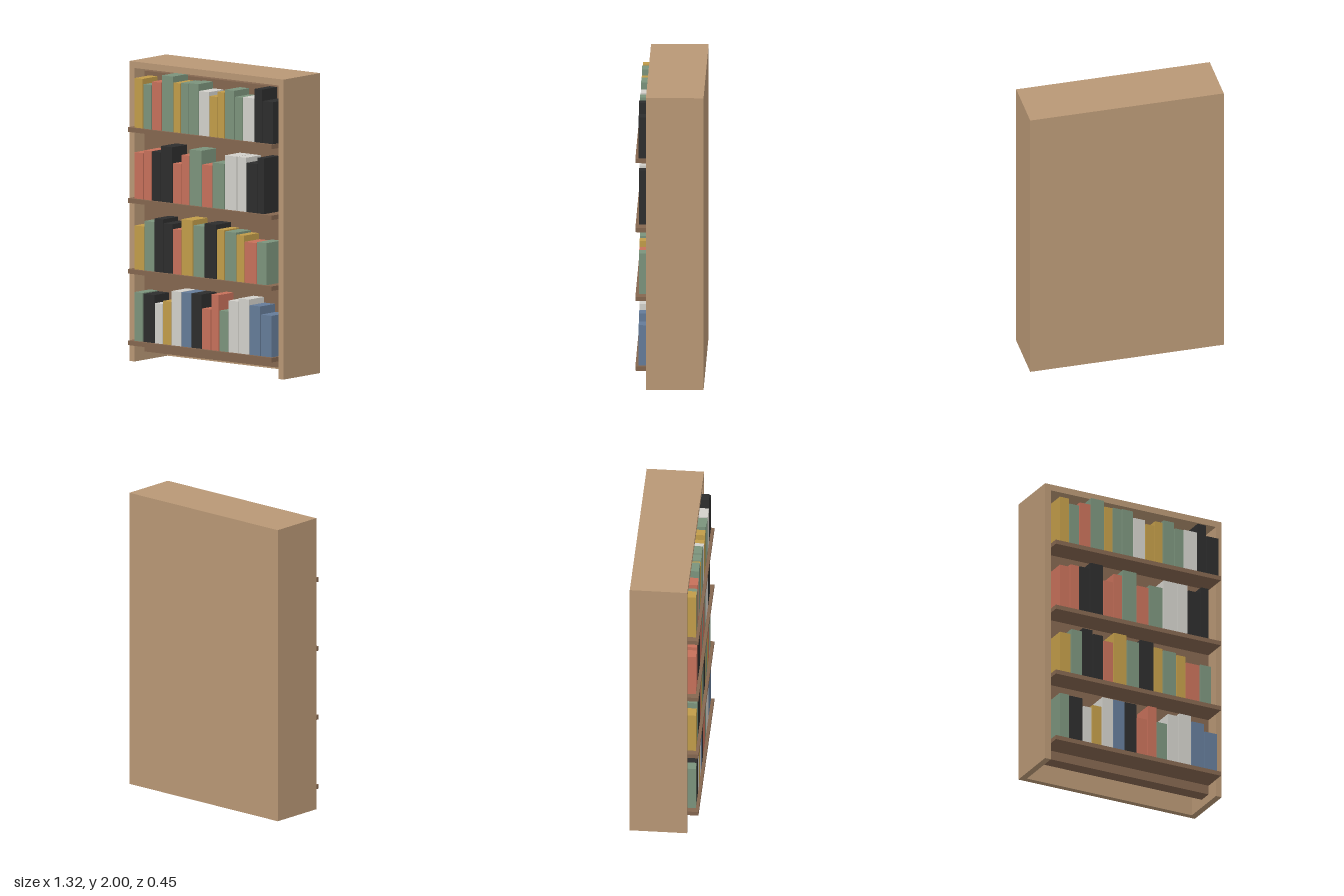
import * as THREE from 'three';

const mat = (name, color) => {
  const m = new THREE.MeshStandardMaterial({ color });
  m.name = name;
  return m;
};

const MATS = {
  oak: mat('light wood', 0xb89775),
  walnut: mat('dark wood', 0x84664f),
  g: mat('green cover', 0x7b937c),
  y: mat('yellow cover', 0xc19c49),
  r: mat('red cover', 0xc6705a),
  w: mat('white cover', 0xd2d0ca),
  k: mat('black cover', 0x2d2d2d),
  b: mat('blue cover', 0x647b98),
};

// Box given by its minimum and maximum corners
function box(name, material, [x0, y0, z0], [x1, y1, z1]) {
  const mesh = new THREE.Mesh(new THREE.BoxGeometry(x1 - x0, y1 - y0, z1 - z0), material);
  mesh.position.set((x0 + x1) / 2, (y0 + y1) / 2, (z0 + z1) / 2);
  mesh.name = name;
  return mesh;
}

// Outer and inner half widths, cabinet depth, and the lining's front face
const W = 0.658, IN = 0.615, BACK = -0.225, FRONT = 0.155, LINING = 0.05;
const BOOK_FRONT = 0.205, GAP = 0.006, FIRST_X = -0.574;

// Each shelf: top height, then books left to right as [cover, pitch, top height]
const SHELVES = [
  { top: 1.57, books: [
    ['y', .074, 1.9], ['g', .074, 1.865], ['r', .085, 1.89], ['g', .1, 1.94], ['y', .063, 1.9],
    ['g', .069, 1.905], ['g', .085, 1.91], ['w', .09, 1.865], ['y', .069, 1.84], ['y', .063, 1.875],
    ['g', .085, 1.895], ['g', .069, 1.855], ['w', .1, 1.86], ['k', .069, 1.925], ['k', .092, 1.85]] },
  { top: 1.097, books: [
    ['r', .079, 1.405], ['r', .069, 1.425], ['k', .079, 1.425], ['k', .1, 1.468], ['r', .074, 1.362],
    ['r', .069, 1.425], ['g', .106, 1.468], ['r', .09, 1.378], ['g', .106, 1.4], ['w', .106, 1.458],
    ['w', .079, 1.458], ['k', .095, 1.425], ['k', .061, 1.468]] },
  { top: 0.625, books: [
    ['y', .085, .917], ['g', .085, .955], ['k', .079, .98], ['k', .079, .955], ['r', .074, .923],
    ['y', .1, .997], ['g', .095, .965], ['k', .106, .987], ['y', .069, .957], ['g', .1, .95],
    ['y', .069, .937], ['r', .106, .897], ['g', .085, .905]] },
  { top: 0.148, books: [
    ['g', .074, .473], ['k', .1, .468], ['w', .069, .415], ['y', .074, .437], ['w', .085, .51],
    ['b', .085, .51], ['k', .09, .51], ['r', .079, .418], ['r', .069, .52], ['g', .079, .418],
    ['w', .085, .493], ['w', .095, .515], ['b', .095, .478], ['b', .098, .425]] },
];

export function createModel() {
  const model = new THREE.Group();
  model.name = 'bookcase';

  // Cabinet shell, open at the front and the bottom
  const cabinet = new THREE.Group();
  cabinet.name = 'cabinet';
  cabinet.add(
    box('leftSide', MATS.oak, [IN, 0, BACK], [W, 2, FRONT]),
    box('rightSide', MATS.oak, [-W, 0, BACK], [-IN, 2, FRONT]),
    box('topBoard', MATS.oak, [-IN, 1.957, BACK], [IN, 2, FRONT]),
    box('backBoard', MATS.oak, [-IN, 0, BACK], [IN, 1.957, BACK + 0.04]),
    box('lining', MATS.walnut, [-IN, 0.055, -0.045], [IN, 1.927, LINING]),
  );
  model.add(cabinet);

  // Shelves with their rows of books
  SHELVES.forEach(({ top, books }, i) => {
    const row = new THREE.Group();
    row.name = `shelfRow${i + 1}`;
    row.add(box('shelf', MATS.walnut, [-IN, top - 0.03, LINING], [IN, top, 0.226]));
    let x = FIRST_X;
    for (const [cover, pitch, height] of books) {
      row.add(box('book', MATS[cover], [x, top, LINING], [x + pitch - GAP, height, BOOK_FRONT]));
      x += pitch;
    }
    model.add(row);
  });

  return model;
}
